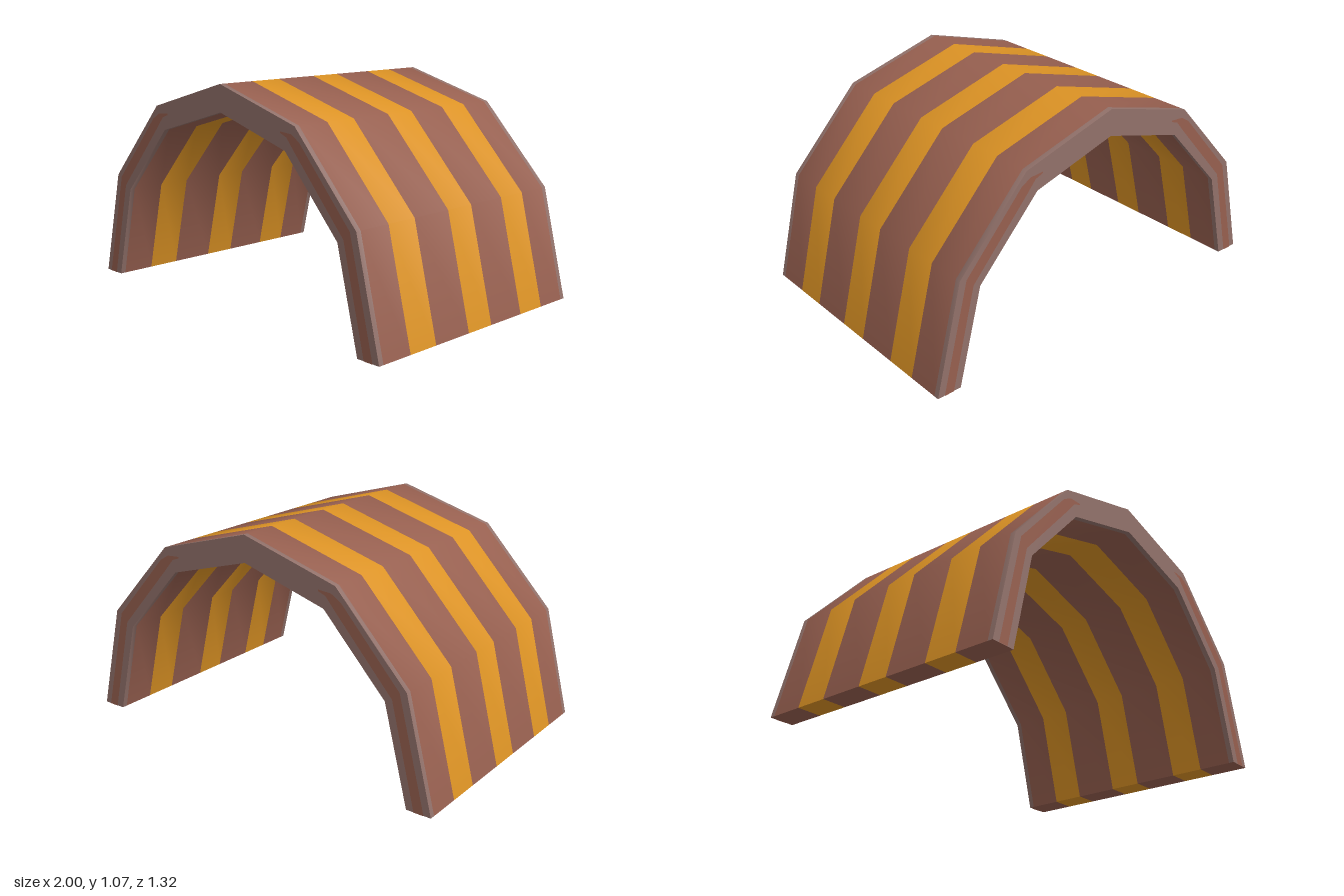
import * as THREE from 'three';

const mat = (name, color) => {
  const m = new THREE.MeshStandardMaterial({ color, side: THREE.DoubleSide });
  m.name = name;
  return m;
};

// Half profiles of the arch, crown to foot, mirrored into full ones (left foot to right foot)
const mirror = (half) => [...half.slice(1).reverse(), ...half.map(([x, y]) => [-x, y])];
const OUTER = mirror([[0, 1.07], [0.5, 0.928], [0.866, 0.537], [1, 0]]);
const INNER = mirror([[0, 0.94], [0.438, 0.815], [0.758, 0.472], [0.876, 0]]);
const HALF_DEPTH = 0.66;
const RIM = 0.026;

// Ribbon between two rows of 3D points, smooth along its length
function ribbon(a, b) {
  const g = new THREE.BufferGeometry();
  const index = [];
  for (let i = 0; i < a.length - 1; i++) {
    const n = a.length + i;
    index.push(i, n, i + 1, i + 1, n, n + 1);
  }
  g.setAttribute('position', new THREE.Float32BufferAttribute([...a, ...b].flat(), 3));
  g.setIndex(index);
  g.computeVertexNormals();
  return g;
}

const at = (profile, z) => profile.map(([x, y]) => [x, y, z]);

export function createModel() {
  const brown = mat('brown', 0x965f4f);
  const orange = mat('orange', 0xdb9224);
  const grey = mat('greyBrown', 0x91716a);
  const model = new THREE.Group();
  model.name = 'stripedArch';
  const add = (name, geometry, material) => {
    const mesh = new THREE.Mesh(geometry, material);
    mesh.name = name;
    model.add(mesh);
  };

  // Striped bands: outer shell, inner shell and the soles of both feet
  const edges = [-HALF_DEPTH, -HALF_DEPTH + RIM, -0.468, -0.304, -0.081, 0.081, 0.304, 0.468,
    HALF_DEPTH - RIM, HALF_DEPTH];
  for (let i = 0; i < edges.length - 1; i++) {
    const [z0, z1] = [edges[i], edges[i + 1]];
    const rim = i === 0 || i === edges.length - 2;
    const paint = !rim && i % 2 === 0 ? orange : brown;
    add(rim ? 'outerRim' : 'outerBand', ribbon(at(OUTER, z1), at(OUTER, z0)), rim ? grey : paint);
    add(rim ? 'innerRim' : 'innerBand', ribbon(at(INNER, z0), at(INNER, z1)), rim ? grey : paint);
    for (const k of [0, OUTER.length - 1]) {
      const foot = [OUTER[k], INNER[k]];
      if (k) foot.reverse();
      add('footSole', ribbon(at(foot, z0), at(foot, z1)), paint);
    }
  }

  // End faces, with a worn streak up each leg
  const streakOuter = [[0.965, 0], [0.832, 0.53], [0.53, 0.862], [0.48, 0.892], [0.41, 0.897]];
  const streakInner = [[0.915, 0], [0.795, 0.49], [0.5, 0.817], [0.45, 0.875], [0.41, 0.89]];
  for (const s of [1, -1]) {
    const z = s * HALF_DEPTH;
    const rows = [at(OUTER, z), at(INNER, z)];
    if (s > 0) rows.reverse();
    add(s > 0 ? 'frontFace' : 'backFace', ribbon(...rows), grey);
    for (const side of [1, -1]) {
      const place = (row) => row.map(([x, y]) => [x * side, y, z + s * 0.002]);
      const pair = [place(streakOuter), place(streakInner)];
      if (s * side > 0) pair.reverse();
      add('legStreak', ribbon(...pair), brown);
    }
  }
  return model;
}
